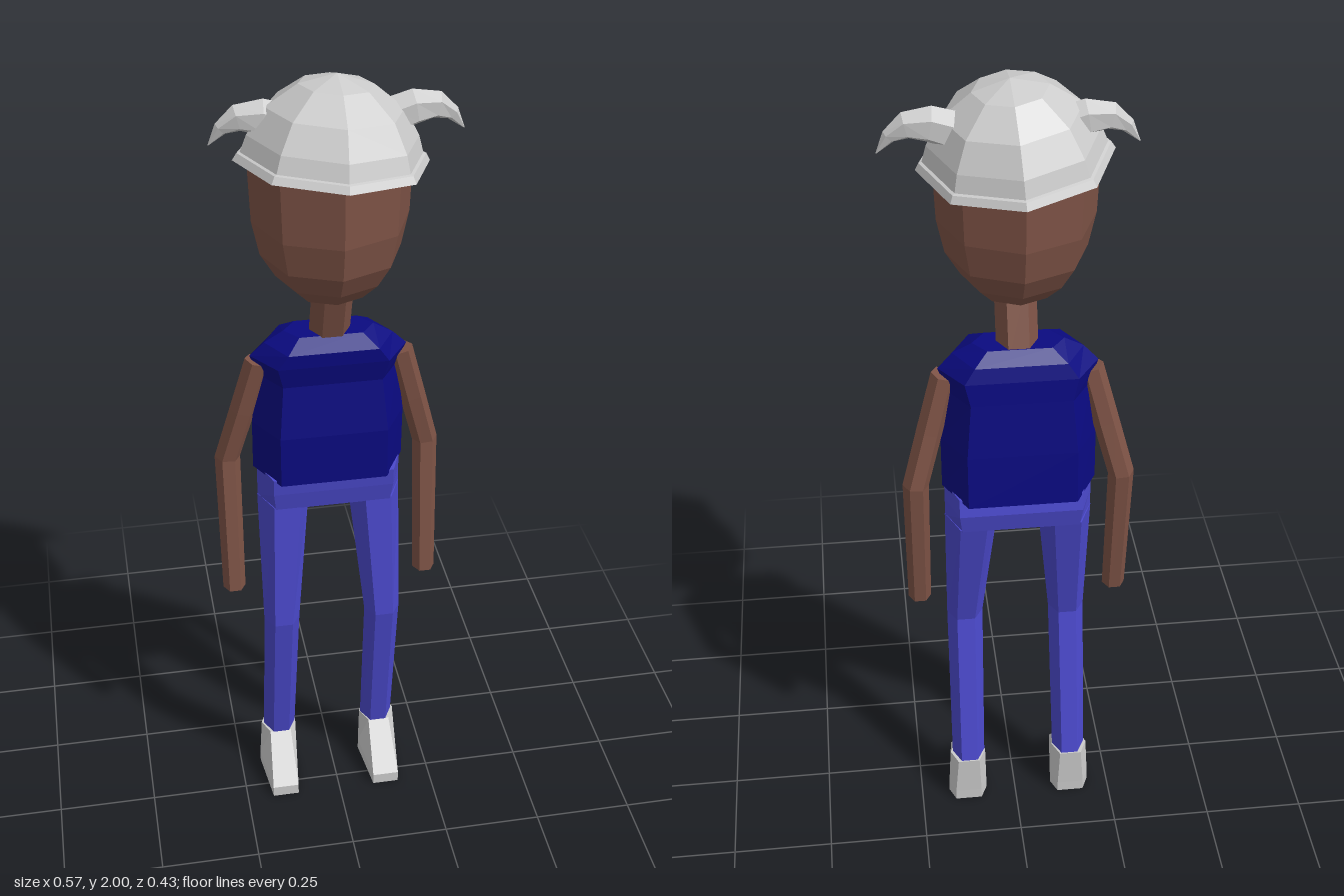
import * as THREE from 'three';

const material = (color) => new THREE.MeshStandardMaterial({ color, flatShading: true, side: THREE.DoubleSide });
const V = (x, y, z) => new THREE.Vector3(x, y, z);

// Skin a stack of equal-sized rings and close both ends
function loft(rings) {
  const n = rings[0].length, index = [];
  const positions = rings.flat().flatMap((p) => [p.x, p.y, p.z]);
  for (let r = 0; r < rings.length - 1; r++) {
    for (let i = 0; i < n; i++) {
      const a = r * n + i, b = r * n + (i + 1) % n;
      index.push(a, b, b + n, a, b + n, a + n);
    }
  }
  const top = (rings.length - 1) * n;
  for (let i = 1; i < n - 1; i++) index.push(0, i + 1, i, top, top + i, top + i + 1);
  const geometry = new THREE.BufferGeometry();
  geometry.setAttribute('position', new THREE.Float32BufferAttribute(positions, 3));
  geometry.setIndex(index);
  geometry.computeVertexNormals();
  return geometry;
}

// Level six-sided ring: side corners at zSide, front and back edges k times as wide
function hexRing(cx, y, w, zFront, zBack, k, zSide = (zFront + zBack) / 2) {
  return [[w, zSide], [k * w, zBack], [-k * w, zBack], [-w, zSide], [-k * w, zFront], [k * w, zFront]]
    .map(([x, z]) => V(cx + x, y, z));
}

// Six-sided limb along a path lying roughly in the xy plane
function limb(path, radii) {
  const v = V(0, 0, -1);
  return loft(path.map((p, i) => {
    const dir = path[Math.min(i + 1, path.length - 1)].clone().sub(path[Math.max(i - 1, 0)]);
    dir.z = 0;
    const u = v.clone().cross(dir).normalize();
    return Array.from({ length: 6 }, (_, j) => p.clone()
      .addScaledVector(u, radii[i] * Math.cos(j * Math.PI / 3))
      .addScaledVector(v, radii[i] * Math.sin(j * Math.PI / 3)));
  }));
}

function lathe(profile) {
  return new THREE.LatheGeometry(profile.map(([r, y]) => new THREE.Vector2(r, y)), 8);
}

export function createModel() {
  const model = new THREE.Group();
  model.name = 'helmetedFigure';
  const grey = material(0xcccccc), skin = material(0x7e5346);
  const shirt = material(0x0a0a80), denim = material(0x4b49cc);
  const cx = -0.01;

  const add = (name, geometry, mat) => {
    const mesh = new THREE.Mesh(geometry, mat);
    mesh.name = name;
    model.add(mesh);
    return mesh;
  };

  // Head and neck
  const head = add('head', lathe([[0, 1.505], [0.085, 1.505], [0.125, 1.545], [0.158, 1.6],
    [0.175, 1.68], [0.181, 1.83], [0, 1.85]]), skin);
  head.position.set(cx - 0.002, 0, -0.005);
  add('neck', limb([V(cx, 1.36, -0.045), V(cx, 1.53, 0.015)], [0.048, 0.048]), skin);

  // Tilted helmet with a flared brim
  const helmet = add('helmet', lathe([[0.214, 0], [0.205, 0.016], [0.198, 0.018], [0.186, 0.055],
    [0.15, 0.115], [0.082, 0.165], [0, 0.188]]), grey);
  helmet.position.set(cx, 1.811, 0);
  helmet.rotation.set(-0.07, 0, -0.073);

  // Sleeveless shirt
  add('shirt', loft([
    [1.008, 0.182, 0.04, -0.16], [1.14, 0.182, 0.042, -0.148], [1.27, 0.166, 0.024, -0.128],
    [1.325, 0.184, 0.036, -0.122], [1.36, 0.15, 0.038, -0.112], [1.385, 0.105, 0, -0.08],
  ].map(([y, w, f, b]) => hexRing(cx - 0.002, y, w, f, b, 0.7))), shirt);

  // Trouser seat
  add('trouserSeat', loft([
    hexRing(cx, 0.92, 0.175, 0.01, -0.135, 0.8),
    hexRing(cx, 0.97, 0.175, 0.02, -0.144, 0.83),
    hexRing(cx, 1.015, 0.175, 0.025, -0.135, 0.83),
  ]), denim);

  for (const [side, s] of [['left', 1], ['right', -1]]) {
    // Bent leg
    add(side + 'Leg', loft([
      hexRing(cx + s * 0.133, 0.135, 0.042, -0.05, -0.13, 0.5),
      hexRing(cx + s * 0.129, 0.57, 0.045, 0.025, -0.05, 0.5),
      hexRing(cx + s * 0.112, 0.925, 0.064, 0.01, -0.135, 0.5),
    ]), denim);

    // Wedge shoe
    add(side + 'Shoe', loft([
      hexRing(cx + s * 0.137, 0, 0.05, 0.05, -0.13, 0.68, -0.095),
      hexRing(cx + s * 0.137, 0.03, 0.05, 0.05, -0.13, 0.68, -0.095),
      hexRing(cx + s * 0.135, 0.142, 0.046, -0.05, -0.132, 0.6, -0.092),
    ]), grey);

    // Hanging arm
    add(side + 'Arm', limb([
      V(cx + s * 0.168, 1.31, -0.045), V(cx + s * 0.205, 1.17, -0.062),
      V(cx + s * 0.243, 1.03, -0.082), V(cx + s * 0.243, 0.66, -0.047),
    ], [0.03, 0.031, 0.031, 0.028]), skin);

    // Curved horn
    const hx = 0.007;
    add(side + 'Horn', limb([
      V(hx + s * 0.12, 1.895, -0.022), V(hx + s * 0.165, 1.91, -0.022),
      V(hx + s * 0.215, 1.91, -0.024), V(hx + s * 0.25, 1.888, -0.026), V(hx + s * 0.277, 1.852, -0.028),
    ], [0.042, 0.04, 0.03, 0.016, 0.001]), grey);
  }
  return model;
}
